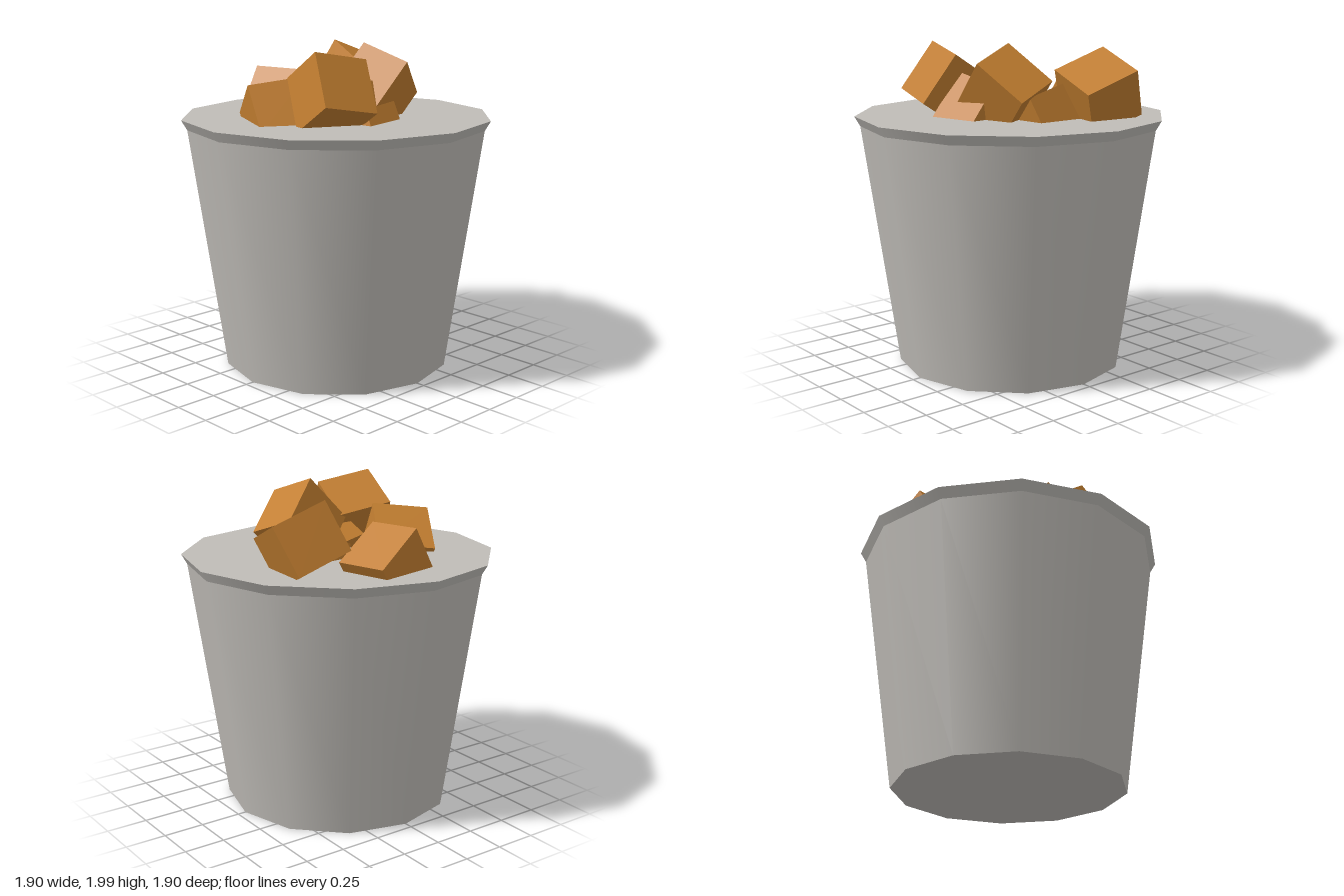
import * as THREE from 'three';

const SIDES = 12;

export function createModel() {
  const model = new THREE.Group();
  const metal = new THREE.MeshStandardMaterial({ color: 0xbfbcb7 });
  metal.name = 'grey metal';
  const brown = new THREE.MeshStandardMaterial({ color: 0xc27e30 });
  brown.name = 'golden brown';

  const add = (name, geometry, material, parent = model) => {
    const mesh = new THREE.Mesh(geometry, material);
    mesh.name = name;
    parent.add(mesh);
    return mesh;
  };

  // Bucket: tapered wall, flared lip, and flat discs closing both ends
  const bucket = new THREE.Group();
  bucket.name = 'bucket';
  model.add(bucket);
  const ring = (name, r0, y0, r1, y1) => add(name, new THREE.LatheGeometry(
    [new THREE.Vector2(r0, y0), new THREE.Vector2(r1, y1)], SIDES), metal, bucket);
  const disc = (name, r, y, turn) => {
    const mesh = add(name, new THREE.CircleGeometry(r, SIDES), metal, bucket);
    mesh.rotation.x = turn;
    mesh.position.y = y;
  };
  ring('bucketWall', 0.7, 0, 0.915, 1.49);
  ring('bucketLip', 0.915, 1.49, 0.95, 1.55);
  disc('bucketTop', 0.95, 1.55, -Math.PI / 2);
  disc('bucketBase', 0.7, 0, Math.PI / 2);

  // Blocks: each has a centre and the directions of its two long edges
  const blocks = new THREE.Group();
  blocks.name = 'blocks';
  model.add(blocks);
  const blockGeometry = new THREE.BoxGeometry(0.352, 0.352, 0.316);
  const placements = [
    [[-0.293, 1.72, 0.265], [0.34, -0.06, 0.07], [-0.09, -0.29, 0.18]],
    [[0.16, 1.705, 0.175], [0.25, -0.22, -0.14], [-0.22, -0.27, -0.04]],
    [[0.05, 1.555, -0.56], [0.29, -0.19, -0.07], [-0.18, -0.3, 0.04]],
    [[0.465, 1.7, -0.3], [0.33, -0.12, 0.03], [-0.08, -0.13, 0.33]],
    [[-0.395, 1.563, -0.085], [-0.32, -0.04, -0.15], [0.16, -0.2, -0.25]],
    [[0.27, 1.52, -0.04], [-0.32, -0.14, 0], [0.02, -0.08, 0.34]],
    [[-0.03, 1.545, 0.225], [-0.06, -0.17, -0.28], [-0.04, -0.27, 0.17]],
  ];
  placements.forEach(([centre, edgeA, edgeB], i) => {
    const x = new THREE.Vector3(...edgeA).normalize();
    const z = new THREE.Vector3().crossVectors(x, new THREE.Vector3(...edgeB)).normalize();
    const y = new THREE.Vector3().crossVectors(z, x);
    const block = add(`block${i + 1}`, blockGeometry, brown, blocks);
    block.quaternion.setFromRotationMatrix(new THREE.Matrix4().makeBasis(x, y, z));
    block.position.set(...centre);
  });

  return model;
}
